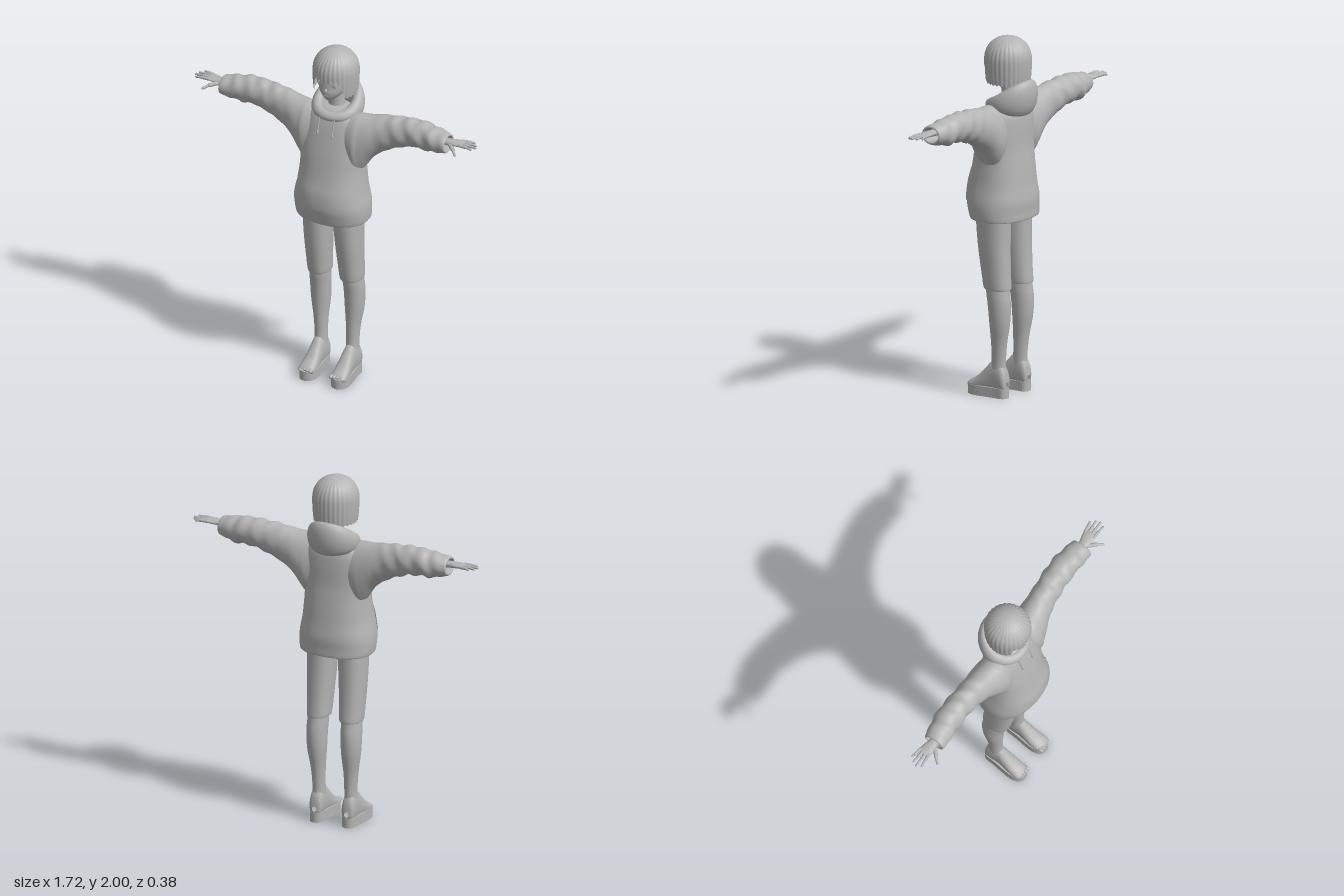
import * as THREE from 'three';

const grey = new THREE.MeshStandardMaterial({ color: 0xb4b4b4, side: THREE.DoubleSide });
grey.name = 'plain grey';

// Grid surface from f(u, v) -> [x, y, z]; u and v may wrap round.
function surface(f, nu, nv, wrapU = true, wrapV = false) {
  const pos = [], idx = [];
  const cu = wrapU ? nu : nu + 1, cv = wrapV ? nv : nv + 1;
  for (let j = 0; j < cv; j++) for (let i = 0; i < cu; i++) pos.push(...f(i / nu, j / nv));
  for (let j = 0; j < nv; j++) for (let i = 0; i < nu; i++) {
    const i2 = (i + 1) % cu, j2 = (j + 1) % cv;
    const a = j * cu + i, b = j * cu + i2, c = j2 * cu + i2, d = j2 * cu + i;
    idx.push(a, b, c, a, c, d);
  }
  const g = new THREE.BufferGeometry();
  g.setAttribute('position', new THREE.Float32BufferAttribute(pos, 3));
  g.setIndex(idx);
  g.computeVertexNormals();
  return g;
}

// Smooth interpolation through rows of numbers.
function sample(rows, v) {
  const n = rows.length - 1, t = v * n, i = Math.min(Math.floor(t), n - 1), s = t - i;
  const p = k => rows[Math.max(0, Math.min(n, k))];
  return rows[i].map((b, k) => {
    const a = p(i - 1)[k], c = p(i + 1)[k], d = p(i + 2)[k];
    return b + 0.5 * s * (c - a + s * (2 * a - 5 * b + 4 * c - d + s * (3 * (b - c) + d - a)));
  });
}

// Loft of rounded sections along an axis; row = [t, min1, max1, min2, max2].
// Axis y uses x,z; axis x uses y,z; axis z uses x,y.
function loft(axis, rows, e = 2) {
  const bend = c => Math.sign(c) * Math.abs(c) ** (2 / e);
  return (u, v) => {
    const [t, a0, a1, b0, b1] = sample(rows, v), an = u * Math.PI * 2;
    const c = bend(axis === 'y' ? Math.sin(an) : Math.cos(an));
    const s = bend(axis === 'y' ? Math.cos(an) : Math.sin(an));
    const a = (a0 + a1) / 2 + c * (a1 - a0) / 2, b = (b0 + b1) / 2 + s * (b1 - b0) / 2;
    return axis === 'y' ? [a, t, b] : axis === 'x' ? [t, a, b] : [a, b, t];
  };
}
const mirrored = f => (u, v) => { const [x, y, z] = f(1 - u, v); return [-x, y, z]; };
const wide = rows => rows.map(([y, w, zb, zf]) => [y, -w, w, zb, zf]);

export function createModel() {
  const model = new THREE.Group();
  model.name = 'figure';
  const add = (name, geo, parent = model) => {
    const m = new THREE.Mesh(geo, grey);
    m.name = name;
    parent.add(m);
    return m;
  };
  const pair = (name, f, nu, nv) => {
    add('left' + name, surface(f, nu, nv));
    add('right' + name, surface(mirrored(f), nu, nv));
  };
  const blob = (name, p, s) => {
    const m = add(name, new THREE.SphereGeometry(1, 16, 12));
    m.position.set(...p);
    m.scale.set(...s);
  };
  // Rounded rod between two points.
  const rod = (name, a, b, r) => {
    const A = new THREE.Vector3(...a), B = new THREE.Vector3(...b), d = B.clone().sub(A);
    const m = add(name, new THREE.CapsuleGeometry(r, d.length(), 4, 10));
    m.position.copy(A).add(B).multiplyScalar(0.5);
    m.quaternion.setFromUnitVectors(new THREE.Vector3(0, 1, 0), d.normalize());
  };

  // Hoodie body, with the hem turned in
  const torso = loft('y', wide([
    [1.05, 0.17, -0.12, 0.12], [1.01, 0.19, -0.145, 0.145], [0.995, 0.206, -0.16, 0.158],
    [1.04, 0.212, -0.162, 0.172], [1.10, 0.21, -0.165, 0.184], [1.18, 0.196, -0.155, 0.18],
    [1.25, 0.188, -0.148, 0.163], [1.32, 0.183, -0.14, 0.148], [1.40, 0.185, -0.131, 0.132],
    [1.50, 0.185, -0.128, 0.107], [1.57, 0.17, -0.122, 0.088], [1.62, 0.14, -0.105, 0.068],
    [1.652, 0.09, -0.085, 0.045], [1.66, 0.03, -0.05, 0.01]]), 2.3);
  add('hoodieBody', surface(torso, 56, 60));

  // Front pocket laid over the body
  add('frontPocket', surface((u, v) => {
    const w = 0.2 - 0.075 * v ** 1.5;
    const [x, y, z] = torso((u - 0.5) * 2 * w, 0.3 + 0.17 * v);
    return [x * 1.015, y, z * 1.025];
  }, 32, 10, false));

  // Sleeves with soft folds and an open cuff
  const arm = loft('x', [
    [0.08, 1.33, 1.63, -0.10, 0.08], [0.15, 1.29, 1.64, -0.115, 0.10], [0.185, 1.32, 1.642, -0.115, 0.09],
    [0.23, 1.385, 1.645, -0.112, 0.075], [0.28, 1.43, 1.655, -0.106, 0.055], [0.34, 1.465, 1.664, -0.105, 0.043],
    [0.41, 1.495, 1.67, -0.107, 0.036], [0.49, 1.517, 1.674, -0.11, 0.034], [0.57, 1.517, 1.668, -0.107, 0.036],
    [0.63, 1.525, 1.656, -0.098, 0.038], [0.675, 1.536, 1.648, -0.086, 0.041], [0.69, 1.543, 1.64, -0.08, 0.038],
    [0.685, 1.555, 1.63, -0.07, 0.028], [0.64, 1.56, 1.625, -0.065, 0.02]]);
  const sleeve = (u, v) => {
    const [x, y, z] = arm(u, v);
    const fold = 0.005 * Math.max(0, Math.min(1, (x - 0.25) * 6, (0.67 - x) * 12));
    return [x, y + fold * Math.sin(x * 75 + z * 25), z + fold * Math.sin(x * 58 + y * 30)];
  };
  pair('Sleeve', sleeve, 36, 70);

  // Hood resting round the neck and hanging down the back
  add('hood', surface((u, v) => {
    const a = u * Math.PI * 2, b = v * Math.PI * 2, k = (1 - Math.cos(a)) / 2;
    const high = 0.026 + 0.074 * k ** 1.4, thick = 0.028 + 0.012 * k;
    const r = thick * Math.cos(b), h = high * Math.sin(b);
    const lean = 0.2 * h * (1 - k) * -1 + 0.1 * h * k;
    return [(0.112 + r + lean) * Math.sin(a), 1.622 + 0.05 * k + h,
      -0.042 + (0.105 + r + lean) * Math.cos(a)];
  }, 56, 20, true, true));

  // Drawstrings
  for (const s of [-1, 1]) {
    rod('drawstring', [s * 0.045, 1.625, 0.076], [s * 0.045, 1.525, 0.107], 0.004);
    rod('drawstringTip', [s * 0.045, 1.535, 0.106], [s * 0.045, 1.52, 0.109], 0.006);
  }

  // Neck and head
  add('neck', surface(loft('y', wide([
    [1.60, 0.06, -0.09, 0.03], [1.66, 0.045, -0.075, 0.012], [1.76, 0.043, -0.08, 0.015]])), 24, 10));
  add('head', surface(loft('y', wide([
    [1.718, 0.002, 0.045, 0.055], [1.722, 0.018, 0.01, 0.073], [1.74, 0.045, -0.04, 0.085],
    [1.77, 0.071, -0.08, 0.093], [1.80, 0.086, -0.11, 0.09], [1.84, 0.096, -0.125, 0.087],
    [1.89, 0.099, -0.13, 0.086], [1.94, 0.085, -0.11, 0.07], [1.975, 0.04, -0.06, 0.02]])), 36, 32));
  blob('nose', [0, 1.79, 0.092], [0.007, 0.012, 0.013]);
  blob('mouth', [0, 1.758, 0.089], [0.016, 0.003, 0.004]);
  for (const s of [-1, 1]) {
    blob('eye', [s * 0.04, 1.822, 0.079], [0.017, 0.013, 0.004]);
    blob('upperLid', [s * 0.041, 1.836, 0.079], [0.021, 0.003, 0.007]);
  }

  // Bobbed hair: combed shell with a jagged fringe and longer sides
  add('hair', surface((u, v) => {
    const a = u * Math.PI * 2, off = Math.abs(a > Math.PI ? a - 2 * Math.PI : a);
    const side = THREE.MathUtils.smoothstep(off, 0.6, 0.95);
    const tooth = Math.abs(((u * 30 + 0.5) % 1) * 2 - 1);
    const hem = 1.832 + (1.742 - 1.832) * side + tooth * (0.024 - 0.016 * side);
    const y = 2 - (2 - hem) * (1 - v) ** 2;
    const t = (y - 1.87) / 0.13;
    const r = (t > 0 ? Math.sqrt(Math.max(0, 1 - t ** 2.2)) : 1 - 0.07 * t * t)
      * (1 + 0.012 * Math.cos(u * 60 * Math.PI));
    return [0.126 * r * Math.sin(a), y, -0.024 + 0.129 * r * Math.cos(a)];
  }, 180, 28));

  // Hands
  pair('Palm', loft('x', [
    [0.64, 1.582, 1.618, -0.045, 0.005], [0.70, 1.588, 1.622, -0.05, 0.006], [0.74, 1.594, 1.622, -0.06, 0.01],
    [0.775, 1.6, 1.621, -0.062, 0.008], [0.785, 1.608, 1.615, -0.05, -0.003]]), 20, 16);
  for (const s of [-1, 1]) {
    const fingers = [[-0.056, -0.068, 0.825], [-0.037, -0.044, 0.846], [-0.018, -0.02, 0.856], [0.001, 0.006, 0.842]];
    for (const [z0, z1, tip] of fingers) {
      rod('finger', [s * 0.765, 1.611, z0], [s * 0.81, 1.612, (z0 + z1) / 2], 0.0085);
      rod('fingerTip', [s * 0.805, 1.612, (z0 + z1) / 2], [s * tip, 1.609, z1], 0.0065);
    }
    rod('thumbBase', [s * 0.705, 1.602, -0.005], [s * 0.748, 1.594, 0.033], 0.011);
    rod('thumbTip', [s * 0.748, 1.594, 0.033], [s * 0.772, 1.583, 0.06], 0.0075);
  }

  // Shorts, with open leg ends
  pair('ShortsLeg', loft('y', [
    [0.68, 0.055, 0.145, -0.085, 0.045], [0.62, 0.047, 0.15, -0.095, 0.04], [0.611, 0.037, 0.159, -0.105, 0.051],
    [0.70, 0.031, 0.163, -0.099, 0.067], [0.85, 0.022, 0.168, -0.094, 0.09], [1.0, 0.013, 0.17, -0.095, 0.105],
    [1.1, 0, 0.17, -0.10, 0.11]], 2.3), 32, 36);

  // Lower legs
  pair('LowerLeg', loft('y', [
    [0.10, 0.06, 0.134, -0.08, 0.03], [0.19, 0.062, 0.131, -0.075, 0.008], [0.30, 0.06, 0.138, -0.084, 0.008],
    [0.42, 0.05, 0.156, -0.104, 0.014], [0.52, 0.047, 0.16, -0.109, 0.024], [0.60, 0.046, 0.157, -0.1, 0.038],
    [0.72, 0.05, 0.15, -0.09, 0.045]]), 28, 36);

  // Feet
  pair('Foot', loft('z', [
    [-0.092, 0.085, 0.11, 0.06, 0.09], [-0.082, 0.065, 0.13, 0.03, 0.15], [-0.05, 0.06, 0.135, 0.02, 0.2],
    [0, 0.06, 0.134, 0.02, 0.2], [0.045, 0.056, 0.138, 0.02, 0.155], [0.095, 0.052, 0.143, 0.02, 0.106],
    [0.135, 0.052, 0.144, 0.025, 0.08], [0.15, 0.06, 0.135, 0.04, 0.068]], 2.2), 28, 32);

  // Platform soles and toes
  const sole = new THREE.Shape();
  sole.moveTo(-0.036, 0.06);
  sole.bezierCurveTo(-0.036, 0.107, 0.036, 0.107, 0.036, 0.06);
  sole.bezierCurveTo(0.036, 0, 0.05, -0.05, 0.05, -0.1);
  sole.bezierCurveTo(0.05, -0.185, -0.05, -0.185, -0.05, -0.1);
  sole.bezierCurveTo(-0.05, -0.05, -0.036, 0, -0.036, 0.06);
  for (const s of [-1, 1]) {
    const m = add('sole', new THREE.ExtrudeGeometry(sole, { depth: 0.055, bevelEnabled: false, curveSegments: 12 }));
    m.rotation.x = -Math.PI / 2;
    m.position.set(s * 0.0975, 0, 0);
    for (let i = 0; i < 5; i++) {
      const r = 0.012 - 0.0012 * i;
      blob('toe', [s * (0.064 + i * 0.0175), 0.062, 0.148 - 0.002 * i * i], [r, r, 0.018]);
    }
  }
  return model;
}
